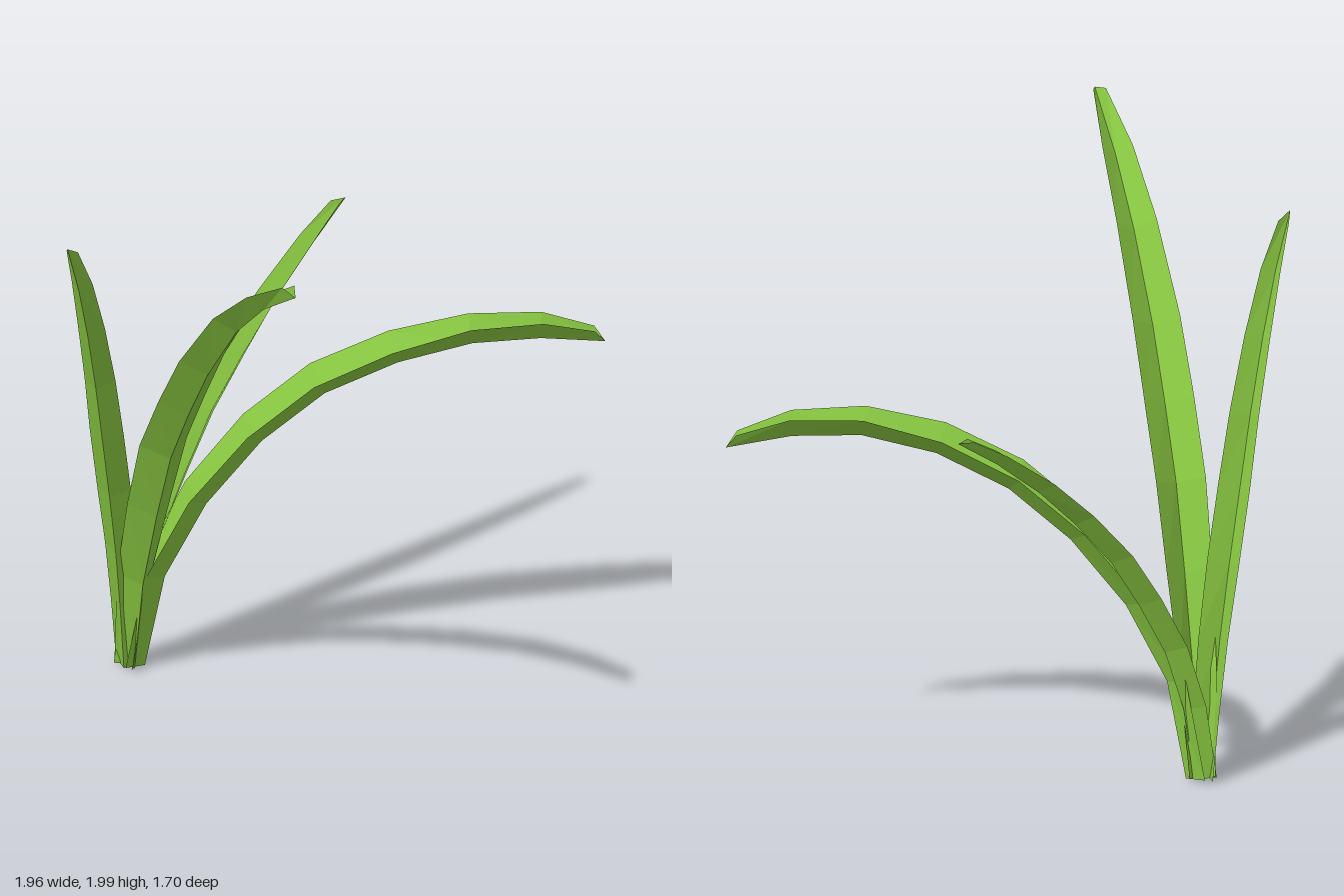
import * as THREE from 'three';

const UP = new THREE.Vector3(0, 1, 0);

// A creased leaf: V cross-sections swept along the crease line, base to tip.
// Each row is [x, y, z, half width, fold depth].
function blade(name, rows, material) {
  const pts = rows.map(r => new THREE.Vector3(r[0], r[1], r[2]));
  const last = pts.length - 1;
  const side = pts[last].clone().sub(pts[0]).cross(UP).normalize();
  const sections = pts.map((p, i) => {
    const tangent = pts[Math.min(i + 1, last)].clone().sub(pts[Math.max(i - 1, 0)]).normalize();
    const lift = side.clone().cross(tangent).normalize();
    const [, , , w, d] = rows[i];
    // the crease runs a little past the edges at the tip
    const edge = p.clone().addScaledVector(lift, d).addScaledVector(tangent, i === last ? -0.045 : 0);
    return [edge.clone().addScaledVector(side, -w), p, edge.clone().addScaledVector(side, w)];
  });
  const pos = [];
  for (let i = 0; i < last; i++) {
    for (let k = 0; k < 2; k++) {
      const a = sections[i][k], b = sections[i][k + 1];
      const c = sections[i + 1][k + 1], d = sections[i + 1][k];
      for (const v of [a, b, c, a, c, d]) pos.push(v.x, v.y, v.z);
    }
  }
  const geo = new THREE.BufferGeometry();
  geo.setAttribute('position', new THREE.Float32BufferAttribute(pos, 3));
  geo.computeVertexNormals();
  const mesh = new THREE.Mesh(geo, material);
  mesh.name = name;
  return mesh;
}

export function createModel() {
  const group = new THREE.Group();
  group.name = 'grassTuft';
  const green = new THREE.MeshStandardMaterial({ color: 0x86c440, flatShading: true, side: THREE.DoubleSide });
  green.name = 'leaf green';

  // tall blade leaning forward
  group.add(blade('frontBlade', [
    [-0.50, 0.00, -0.56, 0.045, 0.07], [-0.515, 0.35, -0.47, 0.065, 0.075],
    [-0.53, 0.66, -0.34, 0.08, 0.075], [-0.545, 0.93, -0.21, 0.087, 0.075],
    [-0.56, 1.16, -0.05, 0.087, 0.07], [-0.575, 1.38, 0.12, 0.083, 0.068],
    [-0.59, 1.64, 0.36, 0.07, 0.06], [-0.605, 1.82, 0.59, 0.053, 0.05],
    [-0.62, 1.97, 0.85, 0.022, 0.045]], green));

  // wide blade arching over to the left
  group.add(blade('archingBlade', [
    [-0.455, 0.00, -0.57, 0.05, 0.07], [-0.405, 0.34, -0.52, 0.07, 0.075],
    [-0.28, 0.61, -0.455, 0.09, 0.08], [-0.11, 0.84, -0.375, 0.1, 0.08],
    [0.08, 1.015, -0.28, 0.1, 0.08], [0.30, 1.13, -0.165, 0.094, 0.08],
    [0.535, 1.19, -0.07, 0.07, 0.08], [0.76, 1.19, 0.0, 0.05, 0.075],
    [0.978, 1.155, 0.055, 0.024, 0.045]], green));

  // narrow blade leaning left and back
  group.add(blade('backBlade', [
    [-0.48, 0.00, -0.59, 0.045, 0.06], [-0.44, 0.26, -0.59, 0.05, 0.06],
    [-0.37, 0.48, -0.60, 0.055, 0.06], [-0.27, 0.67, -0.62, 0.06, 0.06],
    [-0.16, 0.85, -0.65, 0.06, 0.058], [-0.02, 1.02, -0.685, 0.055, 0.055],
    [0.125, 1.17, -0.73, 0.045, 0.05], [0.30, 1.32, -0.79, 0.035, 0.04],
    [0.458, 1.435, -0.85, 0.02, 0.03]], green));

  // narrow upright blade leaning right and forward
  group.add(blade('rightBlade', [
    [-0.53, 0.00, -0.58, 0.045, 0.055], [-0.56, 0.24, -0.55, 0.05, 0.055],
    [-0.60, 0.47, -0.505, 0.055, 0.055], [-0.65, 0.71, -0.455, 0.06, 0.052],
    [-0.71, 0.95, -0.39, 0.06, 0.05], [-0.77, 1.19, -0.325, 0.055, 0.05],
    [-0.84, 1.43, -0.25, 0.048, 0.045], [-0.91, 1.64, -0.18, 0.037, 0.04],
    [-0.983, 1.835, -0.125, 0.02, 0.03]], green));

  return group;
}
